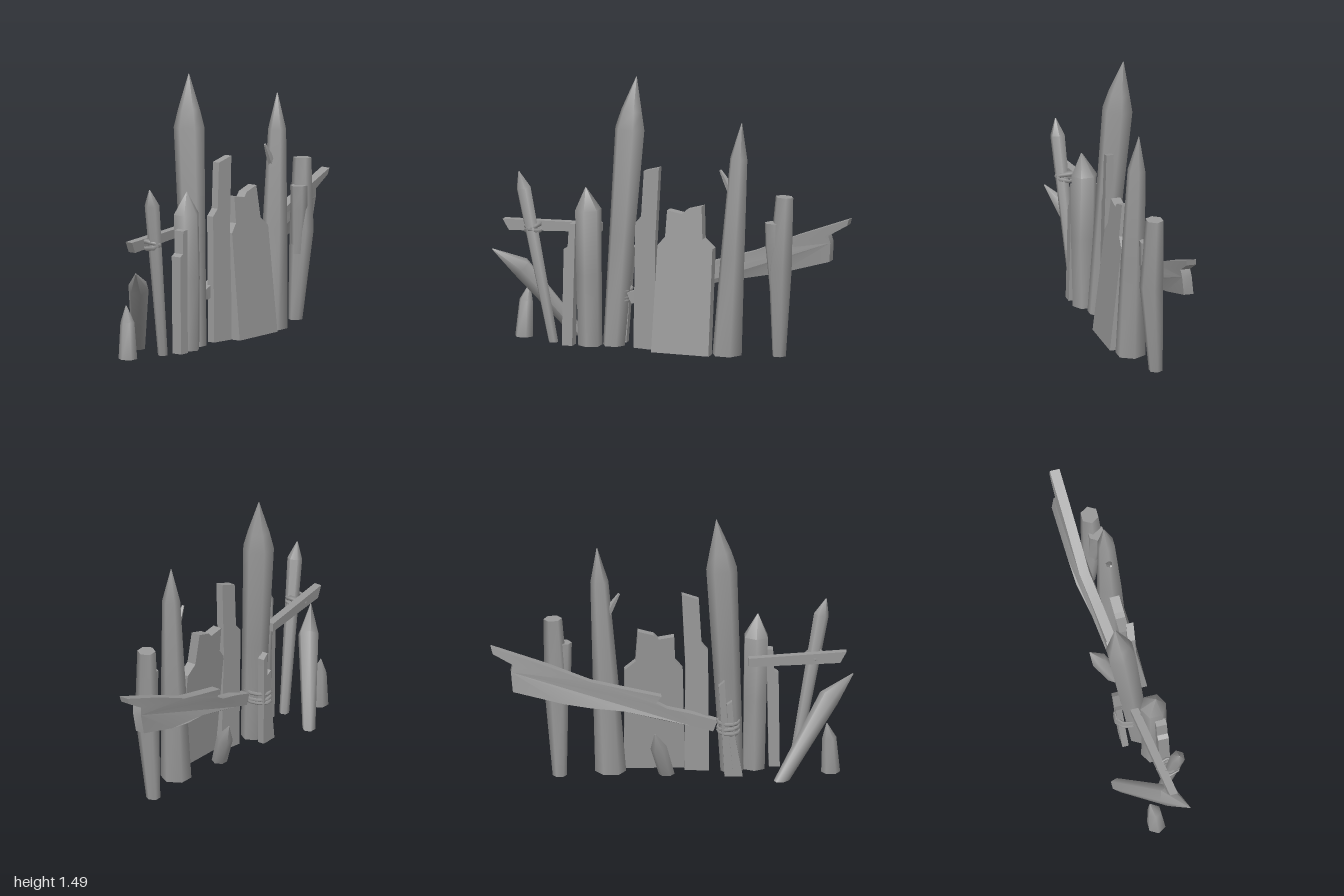
import * as THREE from 'three';
import { toCreasedNormals } from 'three/addons/utils/BufferGeometryUtils.js';

const material = new THREE.MeshStandardMaterial({ color: 0x999999 });

function add(group, name, geometry) {
  const mesh = new THREE.Mesh(geometry, material);
  mesh.name = name;
  group.add(mesh);
  return mesh;
}

// Faceted pole through rings [x, y, z, radius]; the foot is cut level with the ground.
function pole(rings, { sides = 6, turn = 0, grounded = true } = {}) {
  const pts = rings.map(([x, y, z]) => new THREE.Vector3(x, y, z));
  const pos = [];
  const index = [];
  const last = rings.length - 1;
  rings.forEach((ring, i) => {
    const d = pts[Math.min(i + 1, last)].clone().sub(pts[Math.max(i - 1, 0)]).normalize();
    const u = new THREE.Vector3(1, 0, 0).addScaledVector(d, -d.x).normalize();
    const w = d.clone().cross(u);
    for (let s = 0; s < sides; s++) {
      const a = turn + (s / sides) * Math.PI * 2;
      const v = pts[i].clone()
        .addScaledVector(u, Math.cos(a) * ring[3])
        .addScaledVector(w, Math.sin(a) * ring[3]);
      if (i === 0 && grounded) v.addScaledVector(d, -v.y / d.y);
      pos.push(v.x, v.y, v.z);
    }
  });
  for (let i = 0; i < last; i++) {
    for (let s = 0; s < sides; s++) {
      const a = i * sides + s;
      const b = i * sides + ((s + 1) % sides);
      index.push(a, b, b + sides, a, b + sides, a + sides);
    }
  }
  const top = last * sides;
  for (let s = 1; s < sides - 1; s++) {
    index.push(0, s + 1, s, top, top + s, top + s + 1);
  }
  const g = new THREE.BufferGeometry();
  g.setAttribute('position', new THREE.Float32BufferAttribute(pos, 3));
  g.setIndex(index);
  return toCreasedNormals(g, 1.1);
}

// Board cut from an outline; zAt gives the depth of its middle at each x, y.
function board(outline, thickness, zAt) {
  const shape = new THREE.Shape(outline.map(([x, y]) => new THREE.Vector2(x, y)));
  const g = new THREE.ExtrudeGeometry(shape, { depth: thickness, bevelEnabled: false });
  const p = g.attributes.position;
  for (let i = 0; i < p.count; i++) {
    p.setZ(i, p.getZ(i) - thickness / 2 + zAt(p.getX(i), p.getY(i)));
  }
  return toCreasedNormals(g, 0.5);
}

// Piecewise linear value through [x, value] stops.
function along(stops, x) {
  for (let i = 1; i < stops.length; i++) {
    const [x0, a] = stops[i - 1];
    const [x1, b] = stops[i];
    if (x <= x1 || i === stops.length - 1) return a + ((b - a) * (x - x0)) / (x1 - x0);
  }
}

export function createModel() {
  const group = new THREE.Group();
  group.name = 'palisade';

  // Sharpened stakes
  const stakes = {
    tallStake: [[-0.33, 0, 0.045, 0.063], [-0.3, 0.6, 0.0, 0.074], [-0.27, 1.2, -0.045, 0.085],
      [-0.262, 1.3, -0.052, 0.06], [-0.24, 1.49, -0.07, 0.002]],
    rightStake: [[0.335, 0, 0.06, 0.085], [0.365, 0.55, 0.055, 0.069], [0.398, 1.1, 0.045, 0.05],
      [0.412, 1.3, 0.035, 0.002]],
    leaningStake: [[-0.668, 0, 0.085, 0.027], [-0.825, 0.865, 0.133, 0.041], [-0.852, 0.955, 0.137, 0.003]],
    diagonalStake: [[-0.595, 0, -0.142, 0.037], [-0.865, 0.405, 0.07, 0.058], [-1.0, 0.512, 0.157, 0.003]],
    shortStake: [[-0.87, 0, 0.0, 0.052], [-0.862, 0.2, -0.01, 0.039], [-0.848, 0.29, -0.03, 0.003]],
    backStake: [[0.03, 0, -0.005, 0.042], [0.078, 0.18, -0.08, 0.045], [0.1, 0.27, -0.125, 0.003]],
  };
  for (const [name, rings] of Object.entries(stakes)) add(group, name, pole(rings));
  add(group, 'middleStake', pole(
    [[-0.452, 0, 0.09, 0.067], [-0.458, 0.4, 0.094, 0.071], [-0.465, 0.76, 0.088, 0.073],
      [-0.475, 0.885, 0.1, 0.003]], { turn: Math.PI / 6 }));

  // Twig on the right stake
  add(group, 'twig', pole(
    [[0.375, 0.86, 0.045, 0.02], [0.325, 0.97, 0.045, 0.018], [0.29, 1.03, 0.045, 0.007]],
    { sides: 5, grounded: false }));

  // Forked blunt post
  add(group, 'forkedPost', pole(
    [[0.617, 0, 0.0, 0.039], [0.634, 0.5, 0.03, 0.067], [0.655, 0.9, 0.018, 0.051]]));
  add(group, 'forkedPostStub', pole(
    [[0.612, 0.3, 0.02, 0.035], [0.598, 0.62, 0.04, 0.046], [0.597, 0.755, 0.04, 0.048]],
    { grounded: false }));

  // Upright boards, leaning back a little
  add(group, 'wideBoard', board([
    [-0.075, 0], [0.26, 0], [0.26, 0.59], [0.2, 0.64], [0.188, 0.82], [0.1, 0.795],
    [0.075, 0.77], [-0.012, 0.785], [-0.018, 0.64], [-0.06, 0.59],
  ], 0.055, (x, y) => 0.128 - 0.11 * y));
  add(group, 'narrowBoard', board([
    [-0.205, 0], [-0.07, 0], [-0.075, 0.6], [-0.055, 1.022], [-0.148, 0.995],
    [-0.163, 0.74], [-0.198, 0.7],
  ], 0.042, (x, y) => 0.07 + 0.15 * (x + 0.13) - 0.02 * y));
  add(group, 'slimBoard', board([
    [-0.595, 0], [-0.535, 0], [-0.522, 0.685], [-0.558, 0.68], [-0.565, 0.555], [-0.588, 0.54],
  ], 0.06, (x, y) => 0.125 - 0.02 * y));

  // Long broken rail behind the stakes, its lower edge twisted backward at the wide end
  const bend = [[-0.28, 0.035], [0.1, -0.012], [0.45, -0.062], [1, -0.09]];
  const twist = [[-0.28, 0], [0.1, 0], [0.45, 0.13], [1, 0.13]];
  add(group, 'longRail', board([
    [-0.225, 0.24], [-0.1, 0.28], [0.05, 0.32], [0.26, 0.385], [0.45, 0.42], [0.6, 0.45],
    [0.88, 0.53], [0.89, 0.64], [0.88, 0.68], [0.99, 0.745], [1, 0.78], [0.7, 0.67],
    [0.45, 0.565], [0.26, 0.51], [0.06, 0.455], [0.09, 0.42], [0.03, 0.385], [-0.1, 0.35],
    [-0.25, 0.3],
  ], 0.055, (x, y) => along(bend, x) + along(twist, x) * (y - 0.42 - 0.36 * x)));

  // Left crossbar
  add(group, 'crossbar', board([
    [-0.925, 0.61], [-0.42, 0.62], [-0.42, 0.668], [-0.96, 0.672],
  ], 0.045, (x) => along([[-0.96, 0.077], [-0.42, -0.008]], x)));

  // Crossed lashing where the crossbar meets the leaning stake
  for (const side of [-1, 1]) {
    const loop = add(group, 'crossLashing', new THREE.TorusGeometry(0.055, 0.01, 4, 8));
    loop.geometry.rotateX(Math.PI / 2).scale(0.85, 1.5, 1.1);
    loop.position.set(-0.785, 0.64, 0.092);
    loop.rotation.z = side * 0.5;
  }

  // Splints strapped to the back of the tall stake
  const lean = (x, y) => -0.048 - 0.05 * y;
  add(group, 'longSplint', board([
    [-0.335, 0], [-0.285, 0], [-0.268, 0.3], [-0.252, 0.53], [-0.285, 0.56], [-0.3, 0.3],
  ], 0.04, lean));
  add(group, 'shortSplint', board([
    [-0.385, 0], [-0.335, 0], [-0.302, 0.3], [-0.297, 0.42], [-0.325, 0.44], [-0.34, 0.25],
  ], 0.036, lean));

  // Rope bands holding the splints
  [[0.25, 0.06], [0.275, -0.1], [0.305, 0.04]].forEach(([y, tilt]) => {
    const band = add(group, 'ropeBand', new THREE.TorusGeometry(0.06, 0.009, 4, 10));
    band.geometry.rotateX(Math.PI / 2).scale(1, 1.2, 1.3);
    band.position.set(-0.308, y, -0.009);
    band.rotation.z = tilt;
  });

  return group;
}
